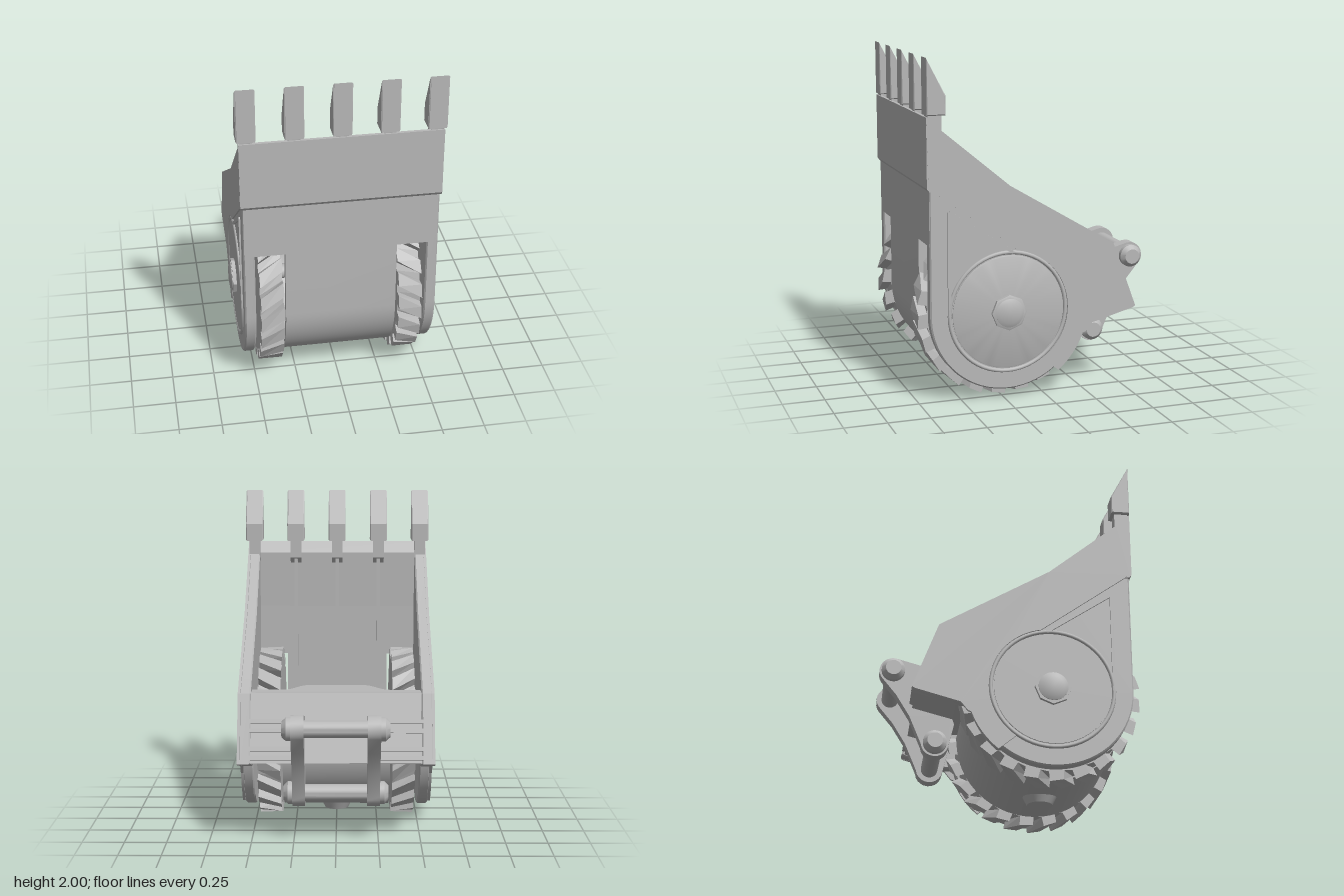
import * as THREE from 'three';
import { toCreasedNormals } from 'three/addons/utils/BufferGeometryUtils.js';

const steel = new THREE.MeshStandardMaterial({ color: 0xb8b8b8 });
steel.name = 'steel grey';

// Wheel axis in the side plane, given as [z, y]
const HUB = [0.23, 0.52];

function arc(r, from, to, n = 24, c = HUB) {
  const pts = [];
  for (let i = 0; i <= n; i++) {
    const a = THREE.MathUtils.degToRad(from + ((to - from) * i) / n);
    pts.push([c[0] + r * Math.cos(a), c[1] + r * Math.sin(a)]);
  }
  return pts;
}

// Side profile of [z, y] points swept from xa to xb
function sweep(pts, xa, xb, bevel = 0, crease = 0.45) {
  const x0 = Math.min(xa, xb), x1 = Math.max(xa, xb);
  const shape = new THREE.Shape(pts.map(([z, y]) => new THREE.Vector2(z, y)));
  const geo = new THREE.ExtrudeGeometry(shape, {
    depth: x1 - x0 - 2 * bevel, steps: 1, bevelEnabled: bevel > 0,
    bevelSize: bevel, bevelThickness: bevel, bevelOffset: -bevel, bevelSegments: 1,
  });
  geo.rotateY(-Math.PI / 2).translate(x1 - bevel, 0, 0);
  return crease ? toCreasedNormals(geo, crease) : geo;
}

// Turned part along x from [radius, x] points
function turned(profile, sides = 32) {
  const geo = new THREE.LatheGeometry(profile.map(([r, h]) => new THREE.Vector2(r, h)), sides);
  return toCreasedNormals(geo.rotateZ(-Math.PI / 2), 0.5);
}

export function createModel() {
  const model = new THREE.Group();
  model.name = 'wheeledBucket';
  const add = (name, geo, x = 0, y = 0, z = 0, parent = model) => {
    const mesh = new THREE.Mesh(geo, steel);
    mesh.name = name;
    mesh.position.set(x, y, z);
    parent.add(mesh);
    return mesh;
  };
  const box = (name, w, h, d, x, y, z) => add(name, new THREE.BoxGeometry(w, h, d), x, y, z);

  // Curved shell between the wheels, and the front wall above the slots
  add('curvedShell', sweep([
    [0.695, 0.94], ...arc(0.465, 0, -190, 40), ...arc(0.425, -190, 0, 40), [0.655, 0.94],
  ], -0.325, 0.325));
  box('frontWall', 1.12, 0.34, 0.04, 0, 1.105, 0.675);
  add('cuttingLip', sweep([[0.71, 1.67], [0.71, 1.27], [0.695, 1.25], [0.655, 1.25], [0.645, 1.6], [0.69, 1.67]], -0.575, 0.575));

  // Teeth with their shanks and inner ribs
  for (let i = -2; i <= 2; i++) {
    const x = i * 0.267;
    add('tooth', sweep([[0.71, 2], [0.60, 1.79], [0.60, 1.68], [0.71, 1.68]], x - 0.055, x + 0.055, 0.006, 0));
    add('toothShank', sweep([[0.70, 1.7], [0.62, 1.7], [0.62, 1.57], [0.65, 1.53], [0.70, 1.64]], x - 0.035, x + 0.035));
    if (Math.abs(i) < 2) box('innerRib', 0.022, 1.2, 0.035, x, 0.99, 0.643);
  }

  // Rear crossbeam, its top flap and the ledge behind the shell
  add('rearBeam', sweep([[-0.40, 0.88], [-0.545, 0.49], [-0.31, 0.43], [-0.31, 0.6], [-0.28, 0.84], [-0.28, 0.87]], -0.51, 0.51));
  const flap = new THREE.Shape();
  flap.moveTo(-0.5, 0.38).lineTo(0.5, 0.38).lineTo(0.5, 0.28).lineTo(0.32, 0.28);
  flap.bezierCurveTo(0.25, 0.28, 0.23, 0.13, 0.15, 0.13);
  flap.lineTo(-0.15, 0.13);
  flap.bezierCurveTo(-0.23, 0.13, -0.25, 0.28, -0.32, 0.28);
  flap.lineTo(-0.5, 0.28);
  const flapGeo = new THREE.ExtrudeGeometry(flap, { depth: 0.03, bevelEnabled: false });
  add('topFlap', toCreasedNormals(flapGeo.rotateX(-Math.PI / 2), 0.5), 0, 0.845, 0);
  box('shellLedge', 0.65, 0.04, 0.13, 0, 0.585, -0.255);

  // Gearbox on the axle, with its upright post and bottom cap
  add('gearbox', turned([[0, -0.17], [0.105, -0.17], [0.115, -0.16], [0.115, 0.16], [0.105, 0.17], [0, 0.17]]), 0, 0.52, 0.225);
  add('axle', turned([[0, -0.56], [0.045, -0.56], [0.045, 0.56], [0, 0.56]], 20), 0, HUB[1], HUB[0]);
  add('gearboxPost', toCreasedNormals(new THREE.LatheGeometry(
    [[0, 0.1], [0.055, 0.1], [0.055, 0.62], [0.078, 0.63], [0.078, 0.655], [0.055, 0.68], [0, 0.685]]
      .map(([r, h]) => new THREE.Vector2(r, h)), 24), 0.5), 0, 0, 0.225);
  add('bottomCap', toCreasedNormals(new THREE.CylinderGeometry(0.1, 0.075, 0.05, 24), 0.5), 0, 0.042, 0.23);
  box('gearboxBracket', 0.14, 0.1, 0.34, 0, 0.52, -0.04);

  // Pair of coupler pins
  const pin = [[0, -0.31], [0.045, -0.31], [0.068, -0.285], [0.068, -0.235], [0.05, -0.21],
    [0.05, 0.21], [0.068, 0.235], [0.068, 0.285], [0.045, 0.31], [0, 0.31]];
  for (const [z, y] of [[-0.66, 0.72], [-0.41, 0.28]]) add('couplerPin', turned(pin), 0, y, z);

  for (const s of [-1, 1]) {
    // Side plate with a raised cheek around the wheel cover
    add('sidePlate', sweep([
      [0.71, 1.66], [0.63, 1.6], [0.22, 1.26], [-0.42, 0.88], [-0.565, 0.49], [-0.55, 0.48], [-0.29, 0.41],
      ...arc(0.48, 193, 229, 8), ...arc(0.465, 232, 360), [0.695, 1.25], [0.71, 1.28],
    ], s * 0.5, s * 0.566, 0.008));
    add('raisedCheek', sweep([
      [0.7, 1.27], [0.71, 1.66], [0.63, 1.6], [0.22, 1.26], [-0.42, 0.88], [-0.565, 0.49], [-0.55, 0.48], [-0.29, 0.41],
      [-0.25, 0.36], ...arc(0.49, 200, 231, 8), ...arc(0.365, 235, 100, 32),
    ], s * 0.56, s * 0.576));

    // Round wheel cover, rim bead and three-cornered bead above
    add('wheelCover', turned([[0, -0.008], [0.335, -0.008], [0.335, 0.005], [0.328, 0.008], [0, 0.008]], 48), s * 0.566, HUB[1], HUB[0]);
    add('coverRim', new THREE.TorusGeometry(0.352, 0.012, 8, 56).rotateY(Math.PI / 2), s * 0.566, HUB[1], HUB[0]);
    for (const [a, b] of [[[0.583, 0.52], [0.583, 1.13]], [[0.583, 1.13], [0.2, 0.87]]]) {
      const dz = b[0] - a[0], dy = b[1] - a[1];
      const bead = box('cornerBead', 0.02, Math.hypot(dz, dy), 0.018, s * 0.566, (a[1] + b[1]) / 2, (a[0] + b[0]) / 2);
      bead.rotation.x = Math.atan2(dz, dy);
    }

    // Hub cap: faceted collar and domed bolt
    add('hubCollar', turned([[0, -0.02], [0.105, -0.02], [0.105, 0.018], [0.09, 0.024], [0, 0.024]], 8), s * 0.576, HUB[1], HUB[0]);
    add('hubBolt', turned([[0, -0.038], [0.06, -0.036], [0.085, -0.025], [0.085, 0.025], [0.06, 0.036], [0, 0.038]], 24), s * 0.575, HUB[1], HUB[0]);

    // Drive wheel with slanted tread blocks, twisted across its width
    const teeth = 22, rim = [];
    for (let i = 0; i < teeth; i++) {
      for (const [t, r] of [[0, 0.522], [0.55, 0.512], [0.6, 0.46], [0.97, 0.465]]) {
        rim.push(arc(r, ((i + t) * 360) / teeth, 0, 1)[0]);
      }
    }
    const wheel = sweep(rim, s * 0.338, s * 0.475, 0, 0);
    const p = wheel.attributes.position;
    for (let i = 0; i < p.count; i++) {
      const turn = -1.2 * (Math.abs(p.getX(i)) - 0.338);
      const z = p.getZ(i) - HUB[0], y = p.getY(i) - HUB[1];
      p.setZ(i, HUB[0] + z * Math.cos(turn) - y * Math.sin(turn));
      p.setY(i, HUB[1] + z * Math.sin(turn) + y * Math.cos(turn));
    }
    add('driveWheel', toCreasedNormals(wheel, 0.1));
    add('wheelHub', turned([[0, -0.09], [0.1, -0.09], [0.1, 0.09], [0, 0.09]], 20), s * 0.42, HUB[1], HUB[0]);

    // Coupler lug holding both pins
    add('couplerLug', sweep([
      [-0.44, 0.75], [-0.5, 0.76], ...arc(0.08, 75, 215, 10, [-0.66, 0.72]), [-0.64, 0.57], [-0.56, 0.44],
      ...arc(0.08, 185, 350, 10, [-0.41, 0.28]), [-0.30, 0.40], [-0.32, 0.46], [-0.44, 0.52],
    ], s * 0.183, s * 0.258));

    // Stiffening ribs on the sloped back of the beam
    for (const [z, y] of [[-0.463, 0.72], [-0.482, 0.67], [-0.52, 0.57], [-0.538, 0.52]]) {
      box('beamRib', 0.25, 0.025, 0.04, s * 0.383, y, z).rotation.x = 0.345;
    }
  }
  return model;
}
